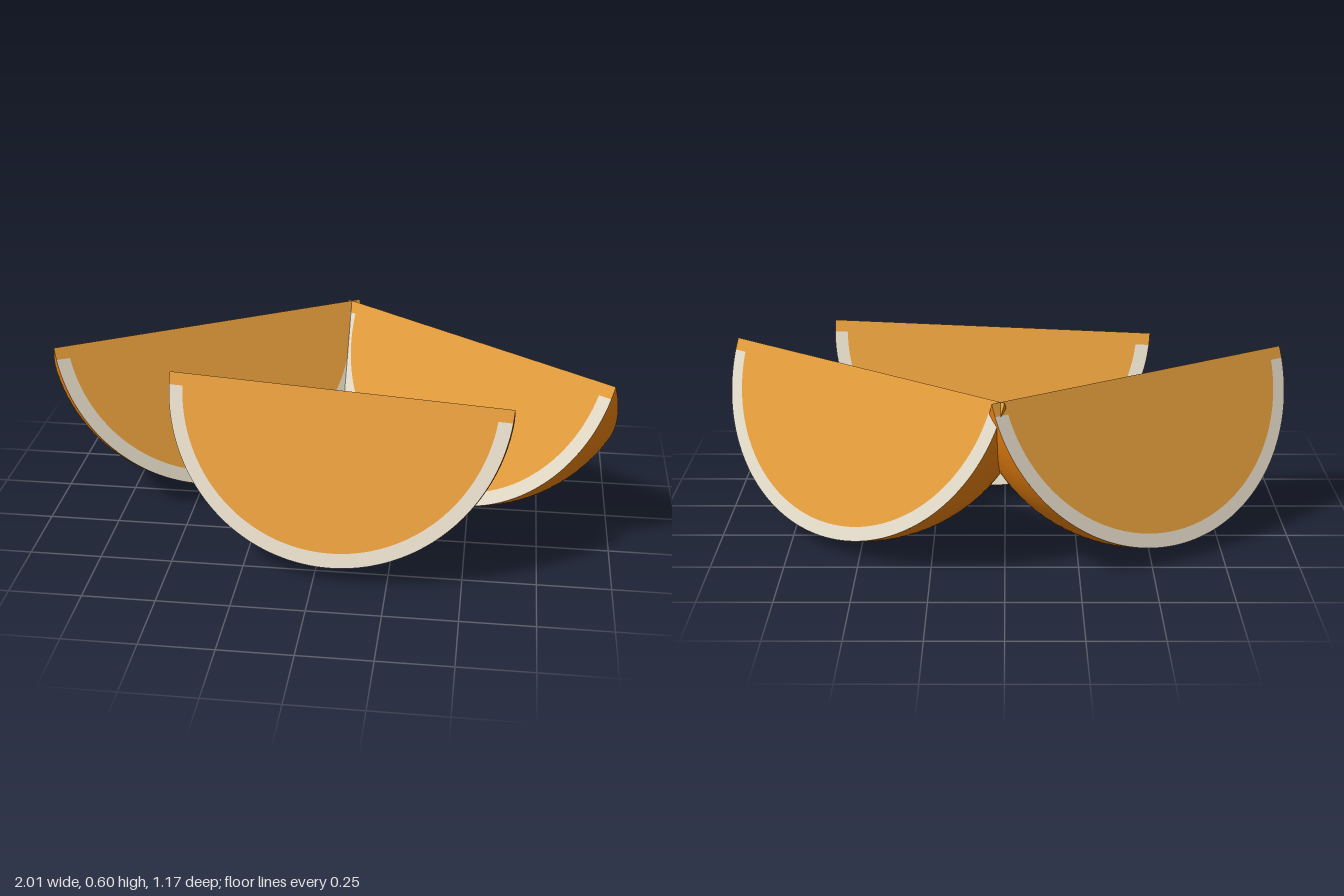
import * as THREE from 'three';

const R = 0.597;                          // wedge radius
const r = 0.548;                          // flesh radius
const STRIP = 0.044;                      // flesh band beside the straight edge
const HALF = THREE.MathUtils.degToRad(25.4); // half of the wedge angle
const PI = Math.PI;

const mat = (name, color) => {
  const m = new THREE.MeshStandardMaterial({ color });
  m.name = name;
  return m;
};

export function createModel() {
  const rindMat = mat('orange rind', 0xee830f);
  const pithMat = mat('cream pith', 0xf3e9d5);
  const fleshMat = mat('orange flesh', 0xf4a840);

  // Curved skin: a slice of a sphere, poles along x, bulging down
  const rindGeo = new THREE.SphereGeometry(R, 24, 64, -HALF, 2 * HALF).rotateZ(PI / 2);

  const eOut = Math.asin(STRIP / R);
  const eIn = Math.asin(STRIP / r);

  // Pith: half ring that stops short of the straight edge
  const pith = new THREE.Shape();
  pith.absarc(0, 0, R, PI + eOut, 2 * PI - eOut, false);
  pith.absarc(0, 0, r, 2 * PI - eIn, PI + eIn, true);

  // Flesh: half disc plus the band along the straight edge
  const flesh = new THREE.Shape();
  flesh.absarc(0, 0, R, PI, PI + eOut, false);
  flesh.absarc(0, 0, r, PI + eIn, 2 * PI - eIn, false);
  flesh.absarc(0, 0, R, 2 * PI - eOut, 2 * PI, false);

  const cutFace = (shape) => new THREE.ShapeGeometry(shape, 48).rotateX(-HALF);
  const pithGeo = cutFace(pith);
  const fleshGeo = cutFace(flesh);

  const add = (parent, name, geo, material, turn = 0) => {
    const mesh = new THREE.Mesh(geo, material);
    mesh.name = name;
    mesh.rotation.y = turn;
    parent.add(mesh);
  };

  const group = new THREE.Group();
  group.name = 'orangeWedges';

  // Three wedges: name, x, z, turn about y
  const wedges = [
    ['frontWedge', 0.055, 0.315, -0.139],
    ['rightWedge', -0.474, -0.215, 0.526],
    ['leftWedge', 0.49, -0.165, -0.61],
  ];
  for (const [name, x, z, turn] of wedges) {
    const wedge = new THREE.Group();
    wedge.name = name;
    wedge.position.set(x, R, z);
    wedge.rotation.y = turn;
    add(wedge, 'rind', rindGeo, rindMat);
    for (const side of [0, PI]) {
      add(wedge, 'pith', pithGeo, pithMat, side);
      add(wedge, 'flesh', fleshGeo, fleshMat, side);
    }
    group.add(wedge);
  }
  return group;
}
